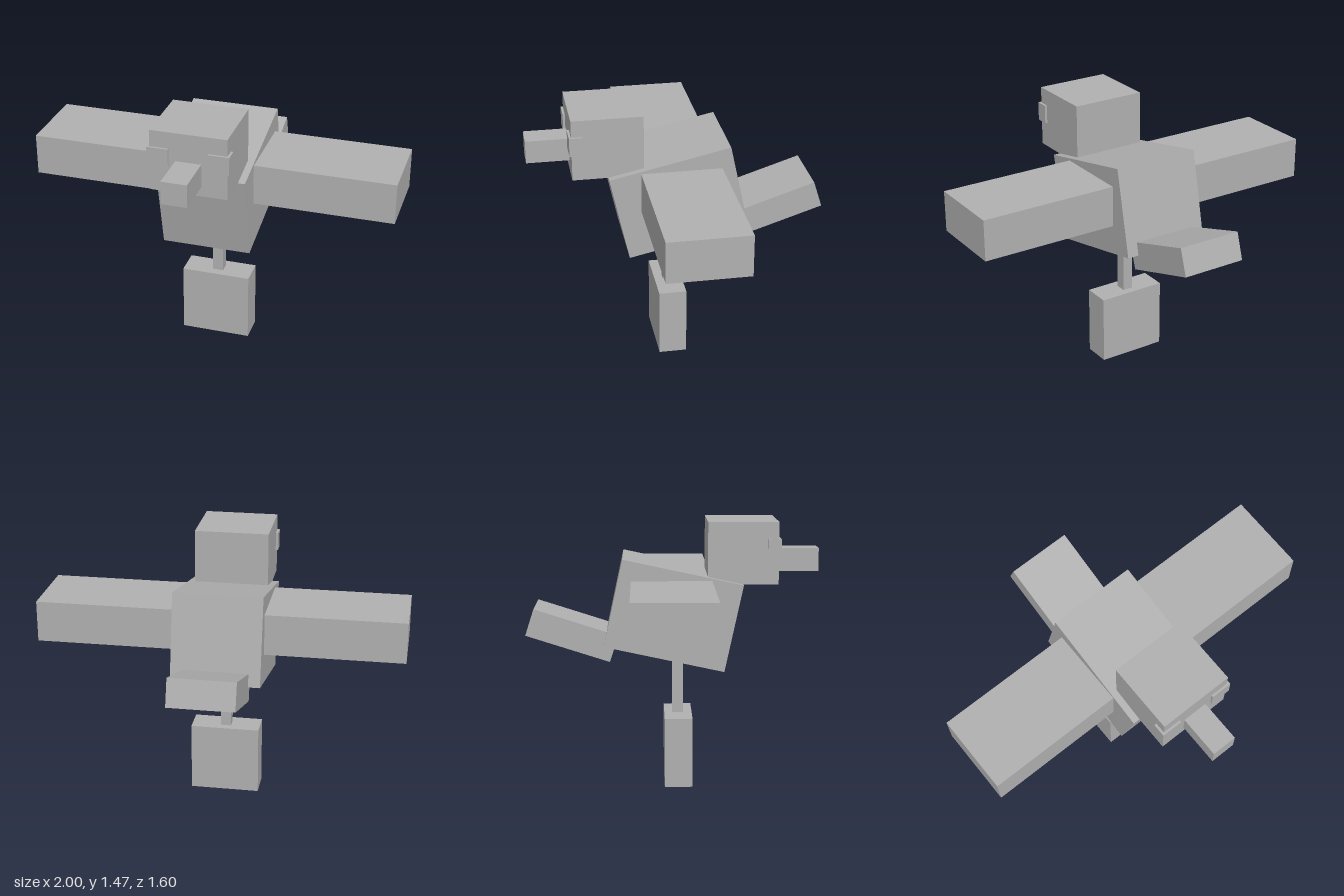
import * as THREE from 'three';

export function createModel() {
  const model = new THREE.Group();
  model.name = 'blockBird';
  const grey = new THREE.MeshStandardMaterial({ color: 0xb0b0b0 });
  grey.name = 'plain grey';
  const midX = -0.003; // the body line sits a hair off centre

  // Adds a box by size and centre, optionally pitched about x
  function box(name, [w, h, d], [x, y, z], pitch = 0) {
    const mesh = new THREE.Mesh(new THREE.BoxGeometry(w, h, d), grey);
    mesh.name = name;
    mesh.position.set(x, y, z);
    mesh.rotation.x = pitch;
    model.add(mesh);
  }

  // Body leaning forward, tail pitched up behind it
  box('body', [0.485, 0.483, 0.665], [midX, 0.964, 0.005], 0.212);
  box('tail', [0.357, 0.152, 0.48], [midX, 0.849, -0.545], 0.311);

  // Head and beak
  box('head', [0.41, 0.335, 0.38], [midX, 1.2975, 0.38]);
  box('beak', [0.137, 0.125, 0.24], [midX, 1.247, 0.68]);

  // Eyes and spread wings, mirrored
  for (const side of [1, -1]) {
    const prefix = side > 0 ? 'left' : 'right';
    box(prefix + 'Eye', [0.114, 0.103, 0.072], [midX + side * 0.161, 1.323, 0.546]);
    box(prefix + 'Wing', [0.762, 0.226, 0.435], [side * 0.619, 1.041, -0.006]);
  }

  // Single leg and block foot
  box('leg', [0.058, 0.36, 0.062], [midX, 0.56, 0.032]);
  box('foot', [0.383, 0.385, 0.153], [midX, 0.1925, 0.034]);

  return model;
}
